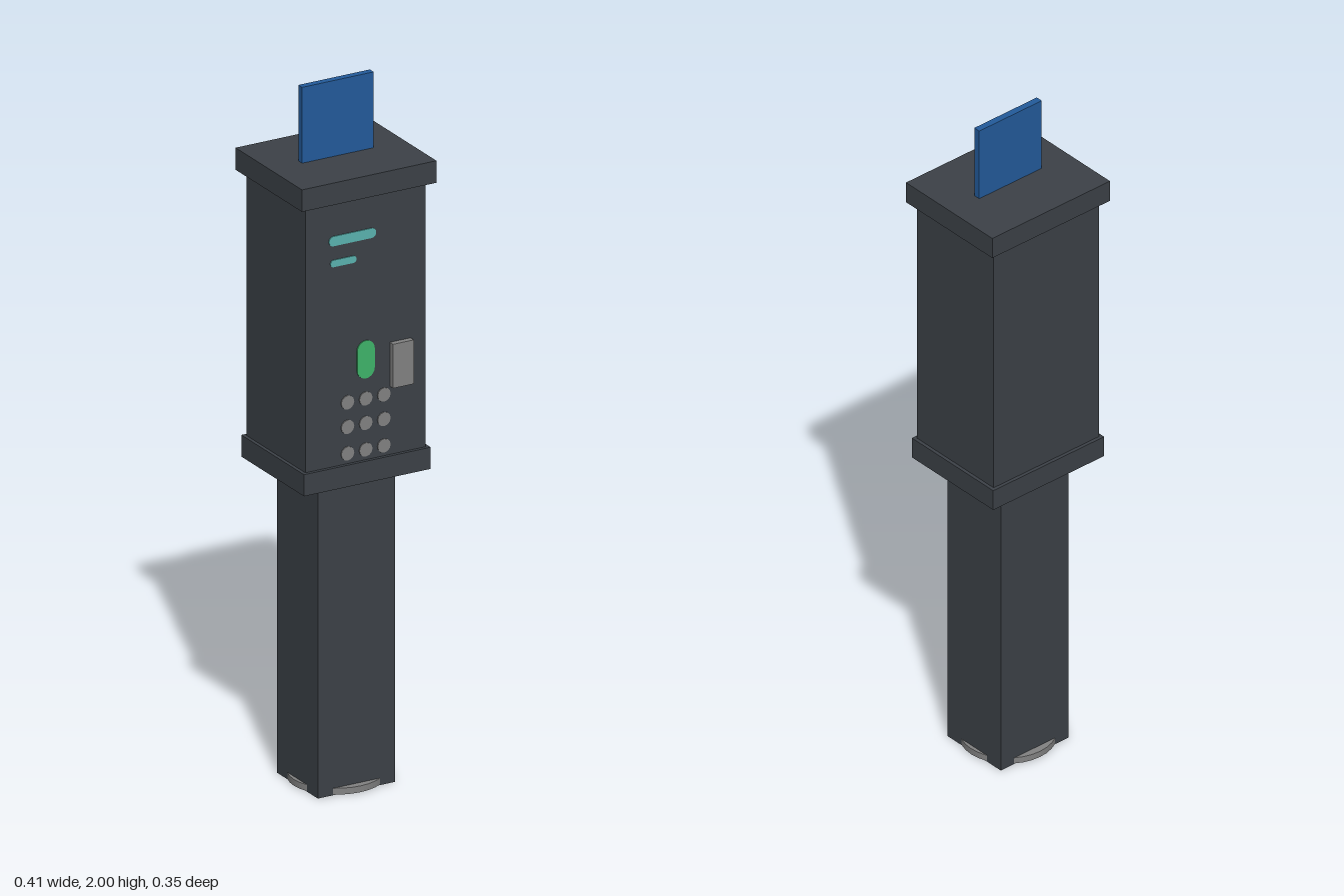
import * as THREE from 'three';

const mat = (name, color) => Object.assign(new THREE.MeshStandardMaterial({ color }), { name });

export function createModel() {
  const group = new THREE.Group();
  const casing = mat('charcoal casing', 0x3c4147);
  const blue = mat('card blue', 0x235b9b);
  const teal = mat('display teal', 0x5ab4b0);
  const green = mat('indicator green', 0x3fb56a);
  const grey = mat('button grey', 0x828282);
  const face = 0.155; // front surface of the housing

  const add = (name, geometry, material, x, y, z) => {
    const mesh = new THREE.Mesh(geometry, material);
    mesh.name = name;
    mesh.position.set(x, y, z);
    group.add(mesh);
    return mesh;
  };
  // Box given by its bottom and top heights
  const block = (name, w, d, y0, y1, material, x = 0, z = 0) =>
    add(name, new THREE.BoxGeometry(w, y1 - y0, d), material, x, (y0 + y1) / 2, z);

  // Post with a round foot showing just outside its flat sides
  add('footPlate', new THREE.CylinderGeometry(0.13, 0.13, 0.018, 32), grey, 0, 0.011, 0);
  block('post', 0.238, 0.216, 0, 0.92, casing);

  // Housing between two collars
  block('lowerCollar', 0.39, 0.33, 0.9, 0.962, casing);
  block('housing', 0.37, 0.31, 0.95, 1.73, casing);
  block('cap', 0.414, 0.35, 1.72, 1.783, casing);

  // Card standing in the top slot
  block('card', 0.22, 0.02, 1.7, 2, blue);

  // Rounded display bars and indicator, as thin plates on the face
  const pill = (name, w, h, material, x, y) => {
    const r = Math.min(w, h) / 2, a = w / 2 - r, b = h / 2 - r;
    const shape = new THREE.Shape();
    shape.absarc(a, b, r, 0, Math.PI / 2);
    shape.absarc(-a, b, r, Math.PI / 2, Math.PI);
    shape.absarc(-a, -b, r, Math.PI, Math.PI * 1.5);
    shape.absarc(a, -b, r, Math.PI * 1.5, Math.PI * 2);
    const geometry = new THREE.ExtrudeGeometry(shape, { depth: 0.003, bevelEnabled: false, curveSegments: 5 });
    add(name, geometry, material, x, y, face);
  };
  pill('displayBarLong', 0.145, 0.028, teal, -0.041, 1.608);
  pill('displayBarShort', 0.08, 0.02, teal, -0.069, 1.544);
  pill('indicator', 0.054, 0.108, green, 0, 1.25);

  // Raised card reader
  block('reader', 0.064, 0.02, 1.157, 1.283, grey, 0.107, 0.162);

  // Keypad of three by three round buttons
  for (const y of [1.138, 1.068, 0.992]) {
    for (const x of [-0.056, 0, 0.056]) {
      add('keypadButton', new THREE.CylinderGeometry(0.02, 0.02, 0.006, 12), grey, x, y, face)
        .rotation.x = Math.PI / 2;
    }
  }
  return group;
}
